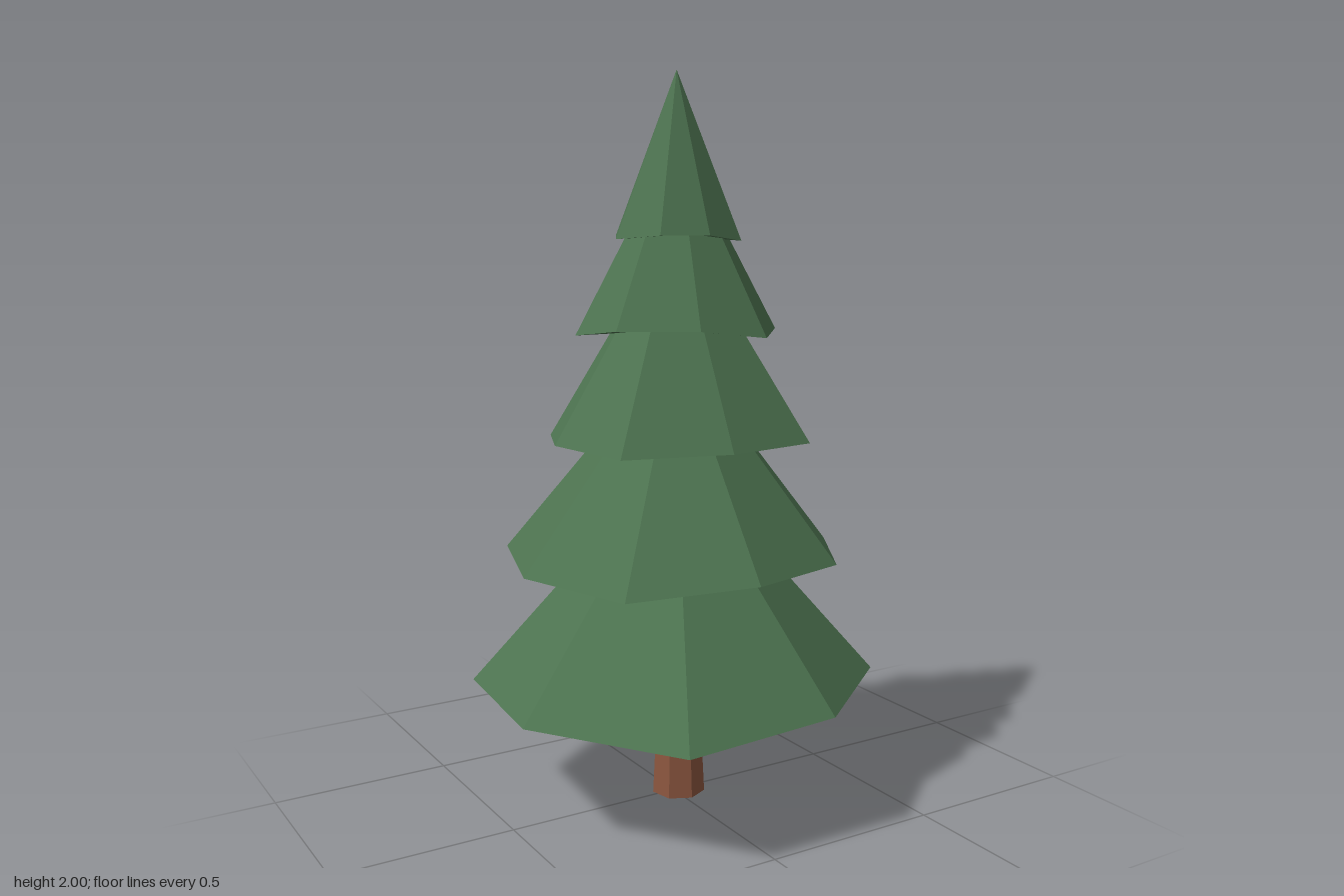
import * as THREE from 'three';

// Each branch tier: apex height and eight rim corners [x, y, z],
// listed clockwise as seen from above.
const TIERS = [
  { name: 'bottomBranches', apex: 0.98, rim: [
    [-0.14, 0.33, -0.52], [0.285, 0.33, -0.513], [0.54, 0.325, -0.167], [0.505, 0.35, 0.253],
    [0.175, 0.35, 0.514], [-0.265, 0.33, 0.514], [-0.54, 0.345, 0.16], [-0.488, 0.335, -0.28]] },
  { name: 'lowerBranches', apex: 1.28, rim: [
    [-0.332, 0.68, -0.38], [0.03, 0.69, -0.46], [0.365, 0.69, -0.336], [0.515, 0.68, 0.01],
    [0.323, 0.69, 0.319], [0, 0.7, 0.426], [-0.326, 0.675, 0.307], [-0.445, 0.68, -0.023]] },
  { name: 'middleBranches', apex: 1.61, rim: [
    [-0.22, 1.005, -0.313], [0.062, 1.0, -0.383], [0.288, 1.0, -0.217], [0.372, 1.01, 0.035],
    [0.25, 1.025, 0.287], [-0.02, 1.025, 0.33], [-0.294, 1.02, 0.232], [-0.335, 1.02, -0.052]] },
  { name: 'upperBranches', apex: 1.83, rim: [
    [-0.097, 1.31, -0.235], [0.1, 1.32, -0.264], [0.242, 1.305, -0.122], [0.283, 1.315, 0.075],
    [0.143, 1.305, 0.235], [-0.062, 1.33, 0.238], [-0.242, 1.33, 0.119], [-0.248, 1.305, -0.096]] },
  { name: 'treeTop', apex: 2.0, rim: [
    [0.016, 1.58, -0.18], [0.14, 1.555, -0.13], [0.175, 1.59, -0.009], [0.143, 1.555, 0.113],
    [0.016, 1.57, 0.157], [-0.111, 1.57, 0.119], [-0.17, 1.56, -0.009], [-0.103, 1.57, -0.13]] },
];
const CENTRE_X = 0.016;
const CENTRE_Z = -0.01;

// Faceted, slightly irregular cone with a closed underside
function tierGeometry({ apex, rim }) {
  const top = [CENTRE_X, apex, CENTRE_Z];
  const meanY = rim.reduce((sum, p) => sum + p[1], 0) / rim.length;
  const under = [CENTRE_X, meanY, CENTRE_Z];
  const points = [];
  rim.forEach((a, i) => {
    const b = rim[(i + 1) % rim.length];
    points.push(...top, ...b, ...a);
    points.push(...under, ...a, ...b);
  });
  const geometry = new THREE.BufferGeometry();
  geometry.setAttribute('position', new THREE.Float32BufferAttribute(points, 3));
  geometry.computeVertexNormals();
  return geometry;
}

export function createModel() {
  const tree = new THREE.Group();
  tree.name = 'pineTree';

  const needles = new THREE.MeshStandardMaterial({ color: 0x4d7350, flatShading: true });
  needles.name = 'needleGreen';
  const bark = new THREE.MeshStandardMaterial({ color: 0x8b563f, flatShading: true });
  bark.name = 'barkBrown';

  // Seven-sided tapering trunk, its top hidden inside the bottom tier
  const trunk = new THREE.Mesh(new THREE.CylinderGeometry(0.053, 0.075, 0.44, 7), bark);
  trunk.name = 'trunk';
  trunk.position.set(CENTRE_X, 0.22, 0);
  tree.add(trunk);

  // Stacked branch tiers
  for (const tier of TIERS) {
    const mesh = new THREE.Mesh(tierGeometry(tier), needles);
    mesh.name = tier.name;
    tree.add(mesh);
  }
  return tree;
}
